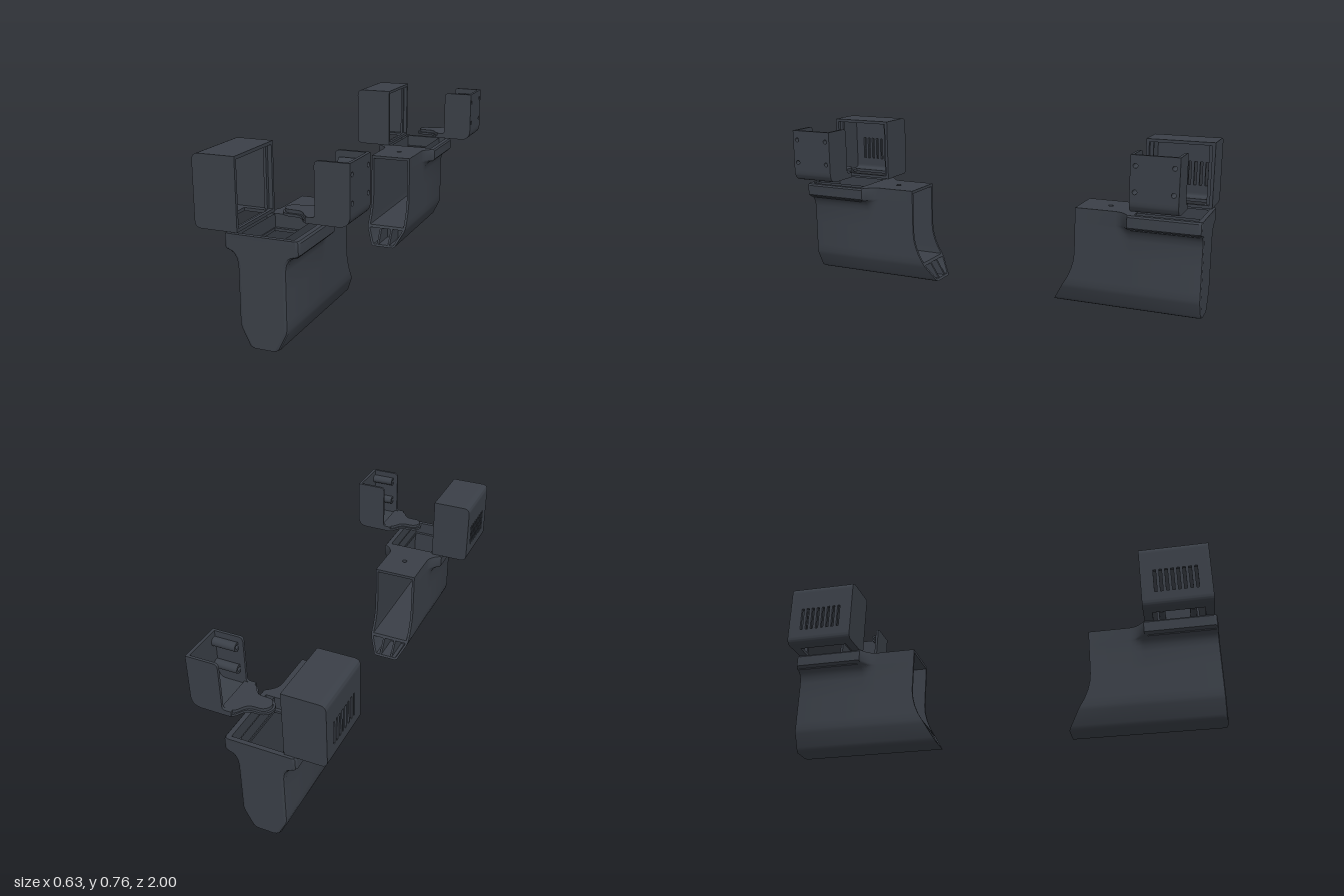
import * as THREE from 'three';
import { toCreasedNormals } from 'three/addons/utils/BufferGeometryUtils.js';

const MID = -0.025; // centre line of the housing in x
const material = new THREE.MeshStandardMaterial({ color: 0x3a3f47, side: THREE.DoubleSide });

// Half section of the housing, top to bottom: [distance from centre line, y]
const HALF = [[0.154, 0.46], [0.16, 0.452], [0.16, 0.405], [0.152, 0.397], [0.138, 0.393], [0.122, 0.382],
  [0.11, 0.362], [0.105, 0.335], [0.105, 0.25], [0.105, 0.21], [0.105, 0.17], [0.105, 0.13], [0.105, 0.095],
  [0.1, 0.076], [0.071, 0.018], [0.065, 0.006], [0.055, 0]];
const NARROW = 0.105;

// z of the slanted open end at a given height
const END = [[0, 0.31], [0.13, 0.388], [0.17, 0.405], [0.21, 0.416], [0.25, 0.42], [1, 0.42]];
function endZ(y) {
  const k = Math.max(1, END.findIndex((p) => p[0] >= y));
  const [a, b] = [END[k - 1], END[k]];
  return THREE.MathUtils.mapLinear(y, a[0], b[0], a[1], b[1]);
}
const flare = (z) => Math.pow(THREE.MathUtils.clamp((z - 0.61) / 0.065, 0, 1), 2);
const flared = (x, z) => Math.min(x, NARROW) + Math.max(x - NARROW, 0) * flare(z);
const bothSides = (half) => [...half, ...half.slice().reverse().map(([x, y]) => [-x, y])];

// Surface through rows of points
function skin(rows) {
  const pos = rows.flat(2), index = [], n = rows[0].length;
  for (let j = 0; j < rows.length - 1; j++) {
    for (let i = 0; i < n - 1; i++) {
      const a = j * n + i, c = a + n;
      index.push(a, a + 1, c, a + 1, c + 1, c);
    }
  }
  const g = new THREE.BufferGeometry();
  g.setAttribute('position', new THREE.Float32BufferAttribute(pos, 3));
  g.setIndex(index);
  return g;
}

const poly = (pts) => new THREE.Shape(pts.map(([x, y]) => new THREE.Vector2(x, y)));
const rect = (x0, y0, x1, y1) => poly([[x0, y0], [x1, y0], [x1, y1], [x0, y1]]);
const disc = (x, y, r) => new THREE.Shape().absarc(x, y, r, 0, Math.PI * 2);
function extrude(shape, depth, holes = []) {
  shape.holes.push(...holes);
  return new THREE.ExtrudeGeometry(shape, { depth, bevelEnabled: false, curveSegments: 10 });
}
// Plates: along z from z0, towards -x from x (shape is z,y), downwards from y (shape is x,z)
const alongZ = (shape, z0, z1) => extrude(shape, z1 - z0).translate(0, 0, z0);
const alongX = (shape, x, depth, holes) => extrude(shape, depth, holes).rotateY(-Math.PI / 2).translate(x, 0, 0);
const down = (shape, y, depth, holes) => extrude(shape, depth, holes).rotateX(Math.PI / 2).translate(0, y, 0);
const block = (x0, x1, y0, y1, z0, z1) => new THREE.BoxGeometry(x1 - x0, y1 - y0, z1 - z0)
  .translate((x0 + x1) / 2, (y0 + y1) / 2, (z0 + z1) / 2);

function housingParts() {
  const flareStations = [0.675, 0.665, 0.655, 0.645, 0.63, 0.61];
  const stations = [[1, 0.015], [0.996, 0.005], [0.985, 0], ...flareStations.map((z) => [z, 0])];
  const section = bothSides(HALF);
  const row = (z, d) => section.map(([x, y]) => [MID + Math.sign(x) * (flared(Math.abs(x), z) - d), y, z]);
  const rimRow = section.map(([x, y]) => [MID + Math.sign(x) * Math.min(Math.abs(x), NARROW), y, endZ(y)]);
  const outer = skin([...stations.map(([z, d]) => row(z, d)), rimRow]);
  const cap = new THREE.ShapeGeometry(poly(row(1, 0.015))).translate(0, 0, 1);

  // Hollow inside, following the outer wall
  const lining = bothSides(HALF.map(([x, y]) => [Math.min(x, NARROW) - 0.012, Math.max(y, 0.01)]));
  const innerRim = lining.map(([x, y]) => [MID + x, y, endZ(y)]);
  const inner = skin([lining.map(([x, y]) => [MID + x, y, 0.975]), innerRim]);

  // Top plate with the bay opening and a screw hole
  const edge = [[0.139, 1], [0.149, 0.996], [0.154, 0.985],
    ...flareStations.map((z) => [flared(0.154, z), z]), [NARROW, 0.42]];
  const outline = poly(bothSides(edge).map(([x, z]) => [MID + x, z]));
  const bay = () => rect(MID - 0.132, 0.7, MID + 0.132, 0.98);
  const parts = {
    housingShell: outer, housingEnd: cap, housingLining: inner, openEndRim: skin([rimRow, innerRim]),
    topPlate: down(outline, 0.46, 0.014, [bay(), disc(MID, 0.555, 0.012)]),
    bayWall: down(rect(MID - 0.152, 0.69, MID + 0.152, 0.988), 0.458, 0.06, [bay()]),
    bayLedge: down(rect(MID - 0.145, 0.69, MID + 0.145, 0.988), 0.402, 0.012,
      [rect(MID - 0.088, 0.715, MID + 0.088, 0.965)]),
    shaftEndWall: block(MID - 0.093, MID + 0.093, 0.09, 0.4, 0.968, 0.976),
    shaftFloor: alongX(poly([[endZ(0.085), 0.085], [0.97, 0.085], [0.97, 0.098], [endZ(0.098), 0.098]]), MID + 0.094, 0.188),
    toeWall: block(MID - 0.065, MID + 0.065, 0.01, 0.09, 0.45, 0.46),
  };
  for (const s of [-1, 1]) {
    parts[s < 0 ? 'toeRibRight' : 'toeRibLeft'] = alongX(
      poly([[0.315, 0.005], [0.455, 0.005], [0.455, 0.09], [0.366, 0.09]]), MID + s * 0.03 + 0.005, 0.01);
  }
  return parts;
}

function coverParts() {
  const L = -0.315, R = -0.13, B = 0.462, T = 0.76, z0 = 0.68, z1 = 0.99, t = 0.014, r = 0.03;
  const side = () => {
    const s = new THREE.Shape().moveTo(R, B).lineTo(R, T).lineTo(L + r, T);
    return s.quadraticCurveTo(L, T, L, T - r).lineTo(L, B + r).quadraticCurveTo(L, B, L + r, B);
  };
  const corner = (y, d) => new THREE.Shape().moveTo(L + r, y).quadraticCurveTo(L, y, L, y + d * r)
    .lineTo(L + t, y + d * r).quadraticCurveTo(L + t, y + d * t, L + r, y + d * t);
  // Vent slots in the outer wall
  const slots = [];
  for (let i = 0; i < 8; i++) {
    const z = 0.835 + (i - 3.5) * 0.026;
    slots.push(rect(z - 0.006, 0.53, z + 0.006, 0.64));
  }
  return {
    coverPanelInner: alongZ(side(), z0, z0 + t),
    coverPanelOuter: alongZ(side(), z1 - t, z1),
    coverTopCorner: alongZ(corner(T, -1), z0, z1),
    coverBottomCorner: alongZ(corner(B, 1), z0, z1),
    coverTop: block(L + r, R, T - t, T, z0, z1),
    coverBottom: down(rect(L + r, z0, R, z1), B + t, t, [rect(-0.25, 0.72, -0.145, 0.95)]),
    ventWall: alongX(rect(z0, B + r, z1, T - r), L + t, t, slots),
    coverRailInner: block(R - 0.03, R - 0.018, B, T, z0 + t, z0 + 0.03),
    coverRailOuter: block(R - 0.03, R - 0.018, B, T, z1 - 0.03, z1 - t),
  };
}

function bracketParts() {
  const z0 = 0.73, z1 = 0.935, zc = (z0 + z1) / 2, R = 0.313;
  const cheek = () => new THREE.Shape().moveTo(0.13, 0.515).lineTo(0.263, 0.515)
    .quadraticCurveTo(R, 0.515, R, 0.565).lineTo(R, 0.76).lineTo(0.19, 0.76)
    .quadraticCurveTo(0.17, 0.76, 0.17, 0.738).lineTo(0.17, 0.555).quadraticCurveTo(0.17, 0.54, 0.155, 0.54).lineTo(0.13, 0.54);
  const bend = new THREE.Shape().moveTo(0.13, 0.515).lineTo(0.263, 0.515).quadraticCurveTo(R, 0.515, R, 0.565)
    .lineTo(R - 0.014, 0.565).quadraticCurveTo(R - 0.014, 0.529, 0.263, 0.529).lineTo(0.13, 0.529);
  const screws = [z0 + 0.022, z1 - 0.022].flatMap((z) => [0.605, 0.715].map((y) => [z, y]));

  // Tongue: round nose widening into the bracket
  const tongue = (d) => {
    const n = 0.046 - d, w = 0.1025 - d;
    return new THREE.Shape().moveTo(0.18, zc - w).lineTo(0.145, zc - w)
      .bezierCurveTo(0.1, zc - w, 0.115, zc - n, 0.06, zc - n).lineTo(0.038, zc - n)
      .absarc(0.038, zc, n, -Math.PI / 2, Math.PI / 2, true).lineTo(0.06, zc + n)
      .bezierCurveTo(0.115, zc + n, 0.1, zc + w, 0.145, zc + w).lineTo(0.18, zc + w);
  };
  const parts = {
    bracketCheekInner: alongZ(cheek(), z0, z0 + 0.012),
    bracketCheekOuter: alongZ(cheek(), z1 - 0.012, z1),
    bracketBend: alongZ(bend, z0, z1),
    bracketWall: alongX(rect(z0, 0.565, z1, 0.76), R, 0.014, screws.map(([z, y]) => disc(z, y, 0.01))),
    tongueBase: down(tongue(0), 0.526, 0.011),
    tongueTop: down(tongue(0.01), 0.54, 0.016),
  };
  screws.forEach(([z, y], i) => {
    parts['screwBoss' + (i + 1)] = alongX(disc(z, y, 0.02), R - 0.01, 0.11, [disc(z, y, 0.01)]);
  });
  return parts;
}

// Mirror a geometry in z, keeping its faces outward
function mirrorZ(geometry) {
  const g = geometry.clone().scale(1, 1, -1);
  const index = [];
  for (let i = 0; i < g.attributes.position.count; i += 3) index.push(i, i + 2, i + 1);
  return g.setIndex(index);
}

export function createModel() {
  const model = new THREE.Group();
  model.name = 'pairedHousings';
  const front = new THREE.Group(), back = new THREE.Group();
  front.name = 'frontUnit';
  back.name = 'backUnit';
  const assemblies = { housing: housingParts(), cover: coverParts(), bracket: bracketParts() };
  for (const [groupName, parts] of Object.entries(assemblies)) {
    const a = new THREE.Group(), b = new THREE.Group();
    a.name = b.name = groupName;
    for (const [name, raw] of Object.entries(parts)) {
      const geometry = toCreasedNormals(raw, 0.6);
      const one = new THREE.Mesh(geometry, material), two = new THREE.Mesh(mirrorZ(geometry), material);
      one.name = two.name = name;
      a.add(one);
      b.add(two);
    }
    front.add(a);
    back.add(b);
  }
  model.add(front, back);
  return model;
}
